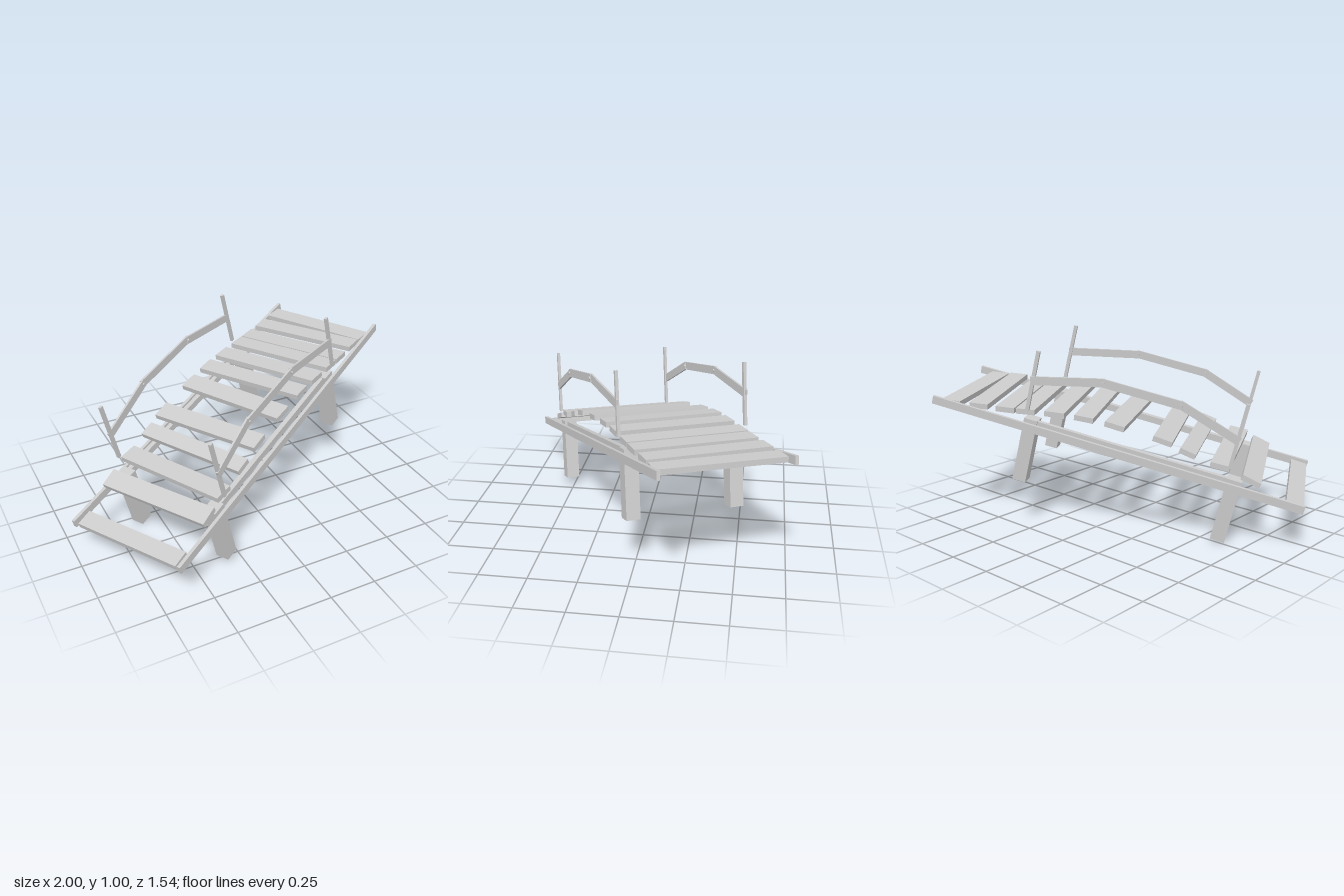
import * as THREE from 'three';

const material = new THREE.MeshStandardMaterial({ color: 0xcccccc, flatShading: true });

// Local axes: x along the bridge, y up, z across it.
function addBox(parent, name, size, position, yaw = 0, pitch = 0) {
  const mesh = new THREE.Mesh(new THREE.BoxGeometry(...size), material);
  mesh.name = name;
  mesh.position.set(...position);
  mesh.rotation.set(0, yaw, pitch);
  parent.add(mesh);
}

// Flat bar between two points of the side plane
function addBar(parent, name, [x0, y0], [x1, y1], z, height, thickness) {
  const length = Math.hypot(x1 - x0, y1 - y0) + 0.018;
  addBox(parent, name, [length, height, thickness],
    [(x0 + x1) / 2, (y0 + y1) / 2, z], 0, Math.atan2(y1 - y0, x1 - x0));
}

export function createModel() {
  const model = new THREE.Group();
  model.name = 'footbridge';

  // The whole bridge is turned and tilted
  const bridge = new THREE.Group();
  bridge.name = 'bridge';
  const along = new THREE.Vector3(0.848, 0.236, -0.475).normalize();
  const across = new THREE.Vector3(0.476, 0.052, 0.878);
  const up = across.clone().cross(along).normalize();
  across.crossVectors(along, up);
  bridge.quaternion.setFromRotationMatrix(new THREE.Matrix4().makeBasis(along, up, across));
  bridge.position.y = 0.465;
  model.add(bridge);

  const sides = [
    { label: 'front', side: 1, highLegZ: 0.28, joints: [[-0.303, 0.349], [0.09, 0.348]] },
    { label: 'back', side: -1, highLegZ: 0.272, joints: [[-0.275, 0.349], [0.125, 0.348]] },
  ];

  for (const { label, side, highLegZ, joints } of sides) {
    // Long side beam and the shorter stringer between the legs
    addBox(bridge, `${label}Beam`, [1.97, 0.042, 0.018], [0, 0.003, side * 0.331]);
    addBox(bridge, `${label}Stringer`, [1.08, 0.036, 0.026], [-0.083, 0.018, side * 0.287]);

    // Legs: low end, high end
    addBox(bridge, `${label}Leg`, [0.074, 0.342, 0.072], [-0.622, -0.13, side * 0.28]);
    addBox(bridge, `${label}Leg`, [0.072, 0.35, 0.072], [0.458, -0.136, side * highLegZ]);

    // Handrail posts: low end, high end
    addBox(bridge, `${label}Post`, [0.019, 0.342, 0.015], [-0.583, 0.274, side * 0.334]);
    addBox(bridge, `${label}Post`, [0.019, 0.316, 0.015], [0.478, 0.254, side * 0.334]);

    // Handrail in three straight pieces with a pin at each joint
    const railPoints = [[-0.583, 0.255], ...joints, [0.48, 0.256]];
    for (let i = 0; i < 3; i++) {
      addBar(bridge, `${label}Handrail`, railPoints[i], railPoints[i + 1],
        side * (i === 1 ? 0.342 : 0.338), 0.043, 0.011);
    }
    for (const [x, y] of joints) {
      const pin = new THREE.Mesh(new THREE.CylinderGeometry(0.008, 0.008, 0.028, 8), material);
      pin.name = `${label}HandrailPin`;
      pin.rotation.x = Math.PI / 2;
      pin.position.set(x, y, side * 0.34);
      bridge.add(pin);
    }
  }

  // Uneven deck planks following an arch: [x, y, width, yaw, pitch]
  const planks = [
    [-0.935, 0, 0.088, 0, 0.05], [-0.7, 0.062, 0.1, 0, 0.2], [-0.55, 0.09, 0.1, -0.05, -0.05],
    [-0.375, 0.108, 0.085, -0.04, 0.13], [-0.23, 0.132, 0.1, -0.01, 0.06], [0.01, 0.135, 0.105, -0.05, 0],
    [0.187, 0.127, 0.1, 0, -0.09], [0.34, 0.105, 0.105, 0, -0.16], [0.492, 0.076, 0.1, 0, -0.19],
    [0.6, 0.055, 0.1, 0, -0.17], [0.745, 0.033, 0.1, 0.01, -0.17], [0.875, 0.008, 0.1, -0.05, -0.15],
  ];
  planks.forEach(([x, y, width, yaw, pitch], i) => {
    addBox(bridge, 'deckPlank', [width, 0.028, i === 0 ? 0.61 : 0.635], [x, y, 0], yaw, pitch);
  });

  return model;
}
